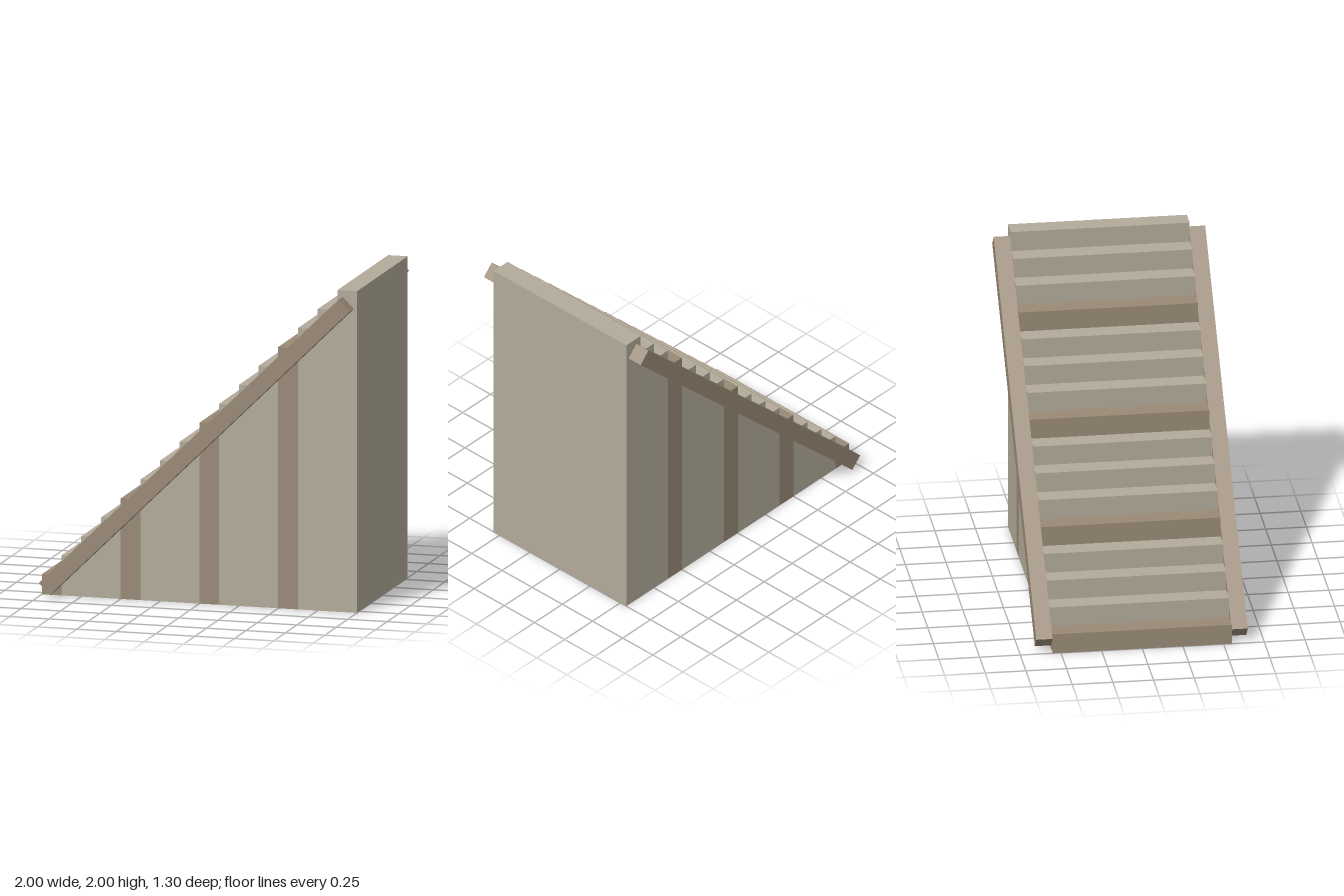
import * as THREE from 'three';

export function createModel() {
  const model = new THREE.Group();
  model.name = 'staircase';

  const stone = new THREE.MeshStandardMaterial({ color: 0xb3ab9b });
  stone.name = 'pale stone';
  const trim = new THREE.MeshStandardMaterial({ color: 0x998a76 });
  trim.name = 'brown stone';

  const addBox = (name, size, position, material) => {
    const mesh = new THREE.Mesh(new THREE.BoxGeometry(...size), material);
    mesh.name = name;
    mesh.position.set(...position);
    model.add(mesh);
    return mesh;
  };

  // Solid steps rising towards +x, every fourth one brown
  const count = 16;
  const run = 2 / count;
  for (let i = 0; i < count; i++) {
    const height = (i + 1) * run;
    addBox(`step${i + 1}`, [run, height, 1.1],
      [-1 + (i + 0.5) * run, height / 2, 0], i % 4 === 0 ? trim : stone);
  }

  // Sloping rails along both sides
  const start = new THREE.Vector2(-0.955, 0.055);
  const end = new THREE.Vector2(0.945, 1.925);
  const slope = end.clone().sub(start);
  const middle = start.clone().add(end).multiplyScalar(0.5);
  for (const side of [-1, 1]) {
    const rail = addBox(side > 0 ? 'frontRail' : 'backRail',
      [slope.length(), 0.1, 0.1], [middle.x, middle.y, side * 0.6], trim);
    rail.rotation.z = slope.angle();
  }

  return model;
}
